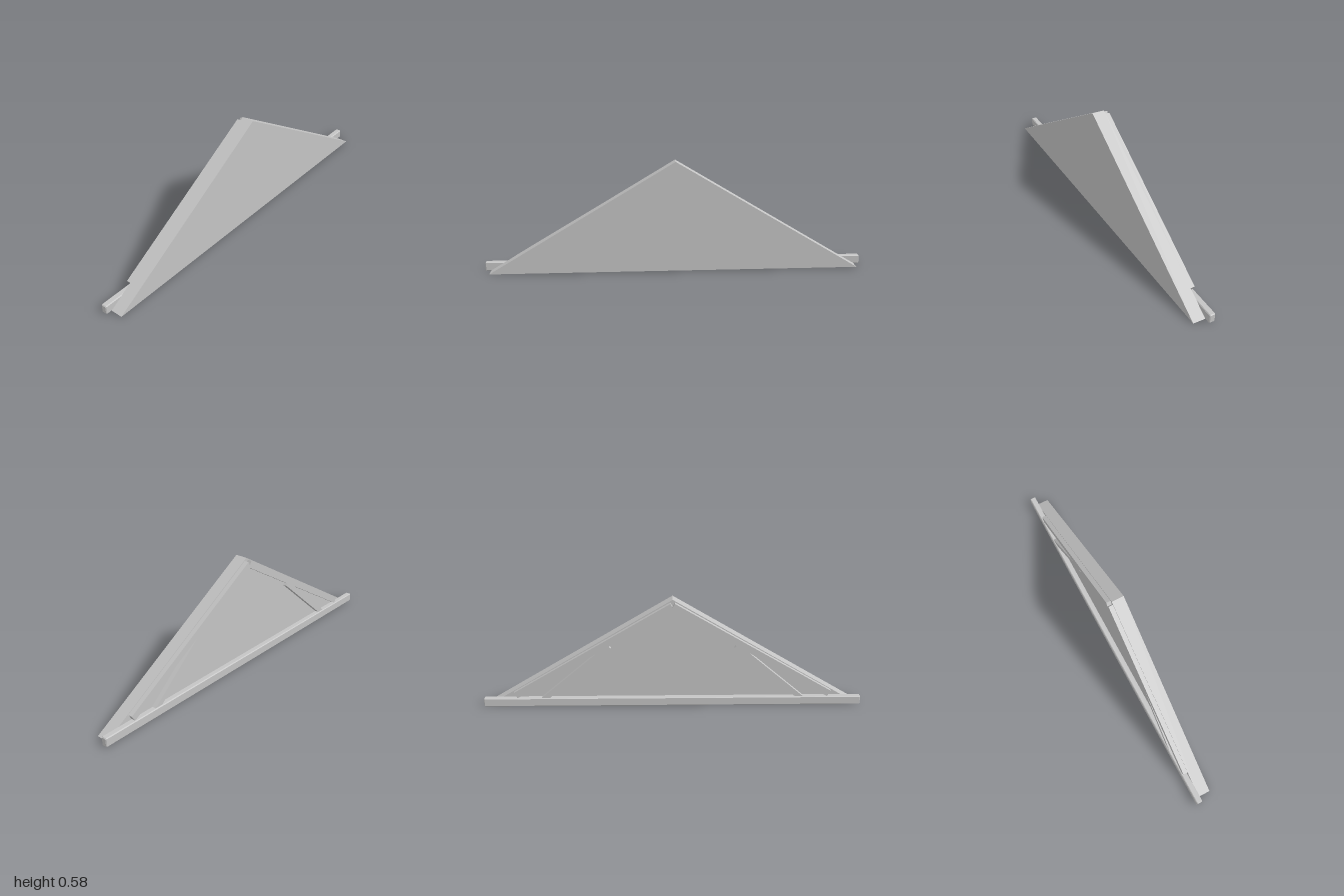
import * as THREE from 'three';

// Prism cut from a polygon in the xy plane, spanning zBack to zFront
function prism(points, zBack, zFront, material, name) {
  const shape = new THREE.Shape(points.map(([x, y]) => new THREE.Vector2(x, y)));
  const geometry = new THREE.ExtrudeGeometry(shape, { depth: zFront - zBack, bevelEnabled: false });
  geometry.translate(0, 0, zBack);
  const mesh = new THREE.Mesh(geometry, material);
  mesh.name = name;
  return mesh;
}

// Square-cut plank: one long edge runs from a to b, the width goes to side (+1 left, -1 right of a-b)
function plank(a, b, width, side) {
  const dx = b[0] - a[0], dy = b[1] - a[1];
  const k = (side * width) / Math.hypot(dx, dy);
  const nx = -dy * k, ny = dx * k;
  return [a, b, [b[0] + nx, b[1] + ny], [a[0] + nx, a[1] + ny]];
}

// Beam along x with chamfered edges and ends
function chamferedBeam(length, height, depth, c, material) {
  const w = depth / 2 - c, h = height / 2 - c;
  const e = c * 0.41;
  const outline = [
    [-w, -h + e], [-w + e, -h], [w - e, -h], [w, -h + e],
    [w, h - e], [w - e, h], [-w + e, h], [-w, h - e],
  ];
  const shape = new THREE.Shape(outline.map(([x, y]) => new THREE.Vector2(x, y)));
  const geometry = new THREE.ExtrudeGeometry(shape, {
    depth: length - 2 * c, bevelEnabled: true, bevelThickness: c, bevelSize: c, bevelSegments: 1,
  });
  geometry.translate(0, 0, -length / 2 + c);
  geometry.rotateY(Math.PI / 2);
  const mesh = new THREE.Mesh(geometry, material);
  mesh.name = 'tieBeam';
  return mesh;
}

export function createModel() {
  const group = new THREE.Group();
  group.name = 'gableTruss';
  const grey = new THREE.MeshStandardMaterial({ color: 0xc4c4c4 });
  grey.name = 'plain grey';

  // Solid triangular gable panel
  group.add(prism([[-0.97, 0.003], [0.97, 0.003], [0, 0.585]], -0.017, 0.048, grey, 'gablePanel'));

  // Tie beam across the foot
  const beam = chamferedBeam(2, 0.047, 0.031, 0.004, grey);
  beam.position.set(0, 0.0235, -0.0315);
  group.add(beam);

  // Rafters and diagonal braces, mirrored on both sides
  const rafter = plank([0.012, 0.571], [0.84, 0.077], 0.036, -1);
  const brace = plank([0.32, 0.328], [0.692, 0.011], 0.028, 1);
  for (const [s, side] of [[1, 'left'], [-1, 'right']]) {
    const flip = (pts) => pts.map(([x, y]) => [s * x, y]);
    group.add(prism(flip(rafter), -0.041, -0.017, grey, side + 'Rafter'));
    group.add(prism(flip(brace), -0.0405, -0.017, grey, side + 'Brace'));
  }
  return group;
}
